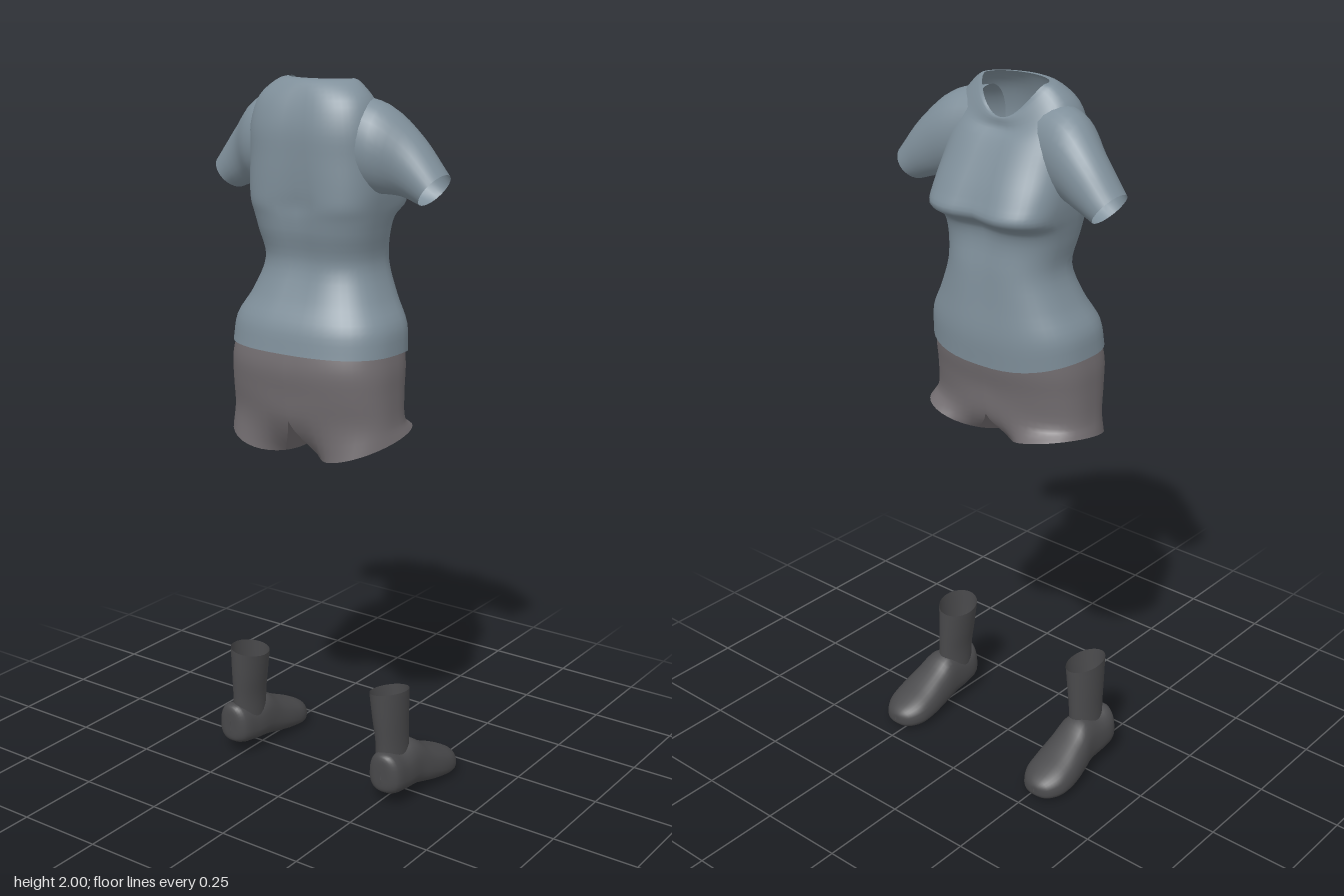
import * as THREE from 'three';

const V = (x, y, z) => new THREE.Vector3(x, y, z);
const spow = (v, p) => Math.sign(v) * Math.pow(Math.abs(v), p);

// Row of n points from a rule of the angle, between a0 and a1
function arc(n, a0, a1, fn) {
  return Array.from({ length: n }, (_, i) => fn(a0 + (a1 - a0) * i / (n - 1)));
}
const ring = (n, fn) => arc(n + 1, 0, Math.PI * 2, fn).slice(0, n);

// Smooth skin through rows of points; closed joins the last column to the first
function loft(rows, closed, steps = 4) {
  const n = rows[0].length, m = (rows.length - 1) * steps;
  const pos = [], idx = [];
  const curves = rows[0].map((_, j) => new THREE.CatmullRomCurve3(rows.map(r => r[j])));
  for (let i = 0; i <= m; i++) for (const c of curves) pos.push(...c.getPoint(i / m).toArray());
  for (let i = 0; i < m; i++) for (let j = 0; j < (closed ? n : n - 1); j++) {
    const a = i * n + j, b = i * n + (j + 1) % n;
    idx.push(a, a + n, b, b, a + n, b + n);
  }
  const g = new THREE.BufferGeometry();
  g.setAttribute('position', new THREE.Float32BufferAttribute(pos, 3));
  g.setIndex(idx);
  g.computeVertexNormals();
  return g;
}

// Copy on the other side of z = 0, with the corner order kept outward
function mirrored(geo) {
  const g = geo.clone().scale(1, 1, -1);
  const idx = Array.from(g.index.array);
  for (let i = 0; i < idx.length; i += 3) [idx[i], idx[i + 1]] = [idx[i + 1], idx[i]];
  g.setIndex(idx);
  g.computeVertexNormals();
  return g;
}

export function createModel() {
  const group = new THREE.Group();
  const mat = (name, color) => {
    const m = new THREE.MeshStandardMaterial({ color, side: THREE.DoubleSide });
    m.name = name;
    return m;
  };
  const shirtBlue = mat('shirt blue grey', 0x7f8f9a);
  const shortsGrey = mat('shorts grey', 0x726d70);
  const shoeDark = mat('shoe charcoal', 0x49494b);
  const add = (name, geo, m) => {
    const mesh = new THREE.Mesh(geo, m);
    mesh.name = name;
    group.add(mesh);
  };
  const pair = (name, geo, m) => {
    add('left' + name, mirrored(geo), m);
    add('right' + name, geo, m);
  };

  // Shirt body: height, half width, front, back, squareness, front drop, centre groove
  const body = [
    [1.29, 0.25, 0.125, -0.212, 0.8, 0.035, 0],
    [1.36, 0.242, 0.13, -0.2, 0.8, 0.02, 0],
    [1.43, 0.203, 0.125, -0.165, 0.8, 0, 0.005],
    [1.52, 0.17, 0.12, -0.138, 0.8, 0, 0.01],
    [1.6, 0.18, 0.11, -0.155, 0.75, 0, 0.012],
    [1.64, 0.187, 0.12, -0.162, 0.7, 0, 0.015],
    [1.675, 0.193, 0.163, -0.167, 0.6, 0, 0.02],
    [1.72, 0.197, 0.147, -0.17, 0.65, 0, 0.016],
    [1.8, 0.195, 0.105, -0.172, 0.75, 0, 0.012],
    [1.88, 0.19, 0.068, -0.17, 0.8, 0.02, 0.01],
    [1.95, 0.168, 0.045, -0.15, 0.85, 0.065, 0.008],
    [1.995, 0.12, 0.036, -0.115, 1, 0.085, 0],
    [2.0, 0.1, 0.03, -0.09, 1, 0.09, 0],
  ];
  add('shirtBody', loft(body.map(([y, hz, f, b, p, drop, groove]) => ring(48, t => {
    const c = Math.cos(t), z = hz * spow(Math.sin(t), p);
    const dent = groove * Math.exp(-((z / 0.05) ** 2)) * Math.sign(c);
    return V((f + b) / 2 + (f - b) / 2 * spow(c, p) - dent, y - drop * Math.max(0, c) ** 2, z);
  })), true), shirtBlue);

  // Sleeves: top edge z, y; bottom edge z, y; centre x; half depth
  const sleeve = [
    [0.1, 1.965, 0.14, 1.71, -0.045, 0.085],
    [0.2, 1.94, 0.195, 1.71, -0.03, 0.088],
    [0.285, 1.865, 0.24, 1.705, -0.006, 0.069],
    [0.363, 1.768, 0.3, 1.685, 0, 0.06],
  ];
  pair('Sleeve', loft(sleeve.map(([zt, yt, zb, yb, x, r]) => ring(28, t => {
    const s = -Math.sin(t) / 2;
    return V(x + r * Math.cos(t), (yt + yb) / 2 + (yt - yb) * s, (zt + zb) / 2 + (zt - zb) * s);
  })), true), shirtBlue);

  // Shorts: tilted leg opening, then outer half up to the waist
  const hem = t => V(-0.035 + 0.142 * Math.cos(t),
    1.033 + 0.026 * Math.cos(t) + 0.03 * Math.sin(t), 0.15 + 0.117 * Math.sin(t));
  const corner = 0.9;
  const shortsRows = [
    [1.1, 0.256, 0.095, -0.19, 0.8],
    [1.18, 0.252, 0.1, -0.204, 0.8],
    [1.25, 0.25, 0.113, -0.212, 0.8],
    [1.32, 0.238, 0.118, -0.2, 0.8],
  ].map(([y, hz, f, b, p]) => arc(28, 0, Math.PI, t => V(
    (f + b) / 2 + (f - b) / 2 * spow(Math.cos(t), p), y, hz * Math.pow(Math.max(0, Math.sin(t)), p))));
  pair('ShortsOuter', loft([arc(28, -corner, Math.PI + corner, hem), ...shortsRows], false), shortsGrey);

  // Inner leg from the opening up to the crotch seam
  pair('ShortsInnerLeg', loft([
    arc(16, Math.PI + corner, Math.PI * 2 - corner, hem),
    arc(16, 0, 1, u => V(-0.19 + 0.285 * u, 1.1 - 0.065 * Math.sin(Math.PI * u), 0)),
  ], false, 3), shortsGrey);

  // Shoes: x, sole, top, centre z, half width
  const shoe = [
    [-0.13, 0.08, 0.11, 0.27, 0.001],
    [-0.126, 0.05, 0.15, 0.27, 0.03],
    [-0.11, 0.038, 0.16, 0.27, 0.05],
    [-0.06, 0.03, 0.15, 0.268, 0.057],
    [0, 0.022, 0.165, 0.267, 0.06],
    [0.05, 0.012, 0.135, 0.27, 0.067],
    [0.11, 0.003, 0.103, 0.272, 0.073],
    [0.16, 0, 0.08, 0.272, 0.068],
    [0.195, 0.004, 0.06, 0.272, 0.045],
    [0.208, 0.015, 0.045, 0.272, 0.02],
    [0.21, 0.025, 0.035, 0.272, 0.001],
  ];
  pair('Shoe', loft(shoe.map(([x, y0, y1, z, w]) => ring(28, t => {
    const c = Math.cos(t);
    // wider near the sole than at the instep
    return V(x, (y0 + y1) / 2 + (y1 - y0) / 2 * spow(c, 0.8), z - w * (1 - 0.12 * c) * spow(Math.sin(t), 0.8));
  })), true), shoeDark);

  // Ankle shafts, open at the top
  const shaft = [
    [0.11, -0.05, 0.06, 0.258, 0.042, 0],
    [0.18, -0.051, 0.061, 0.256, 0.041, 0],
    [0.25, -0.054, 0.064, 0.252, 0.046, 0.5],
    [0.327, -0.056, 0.066, 0.248, 0.052, 1],
  ];
  pair('AnkleShaft', loft(shaft.map(([y, x, rx, z, rz, tilt]) => ring(24, t => V(
    x + rx * Math.cos(t), y + tilt * (0.009 * Math.sin(t) - 0.007 * Math.cos(t)), z + rz * Math.sin(t)))), true), shoeDark);

  return group;
}
